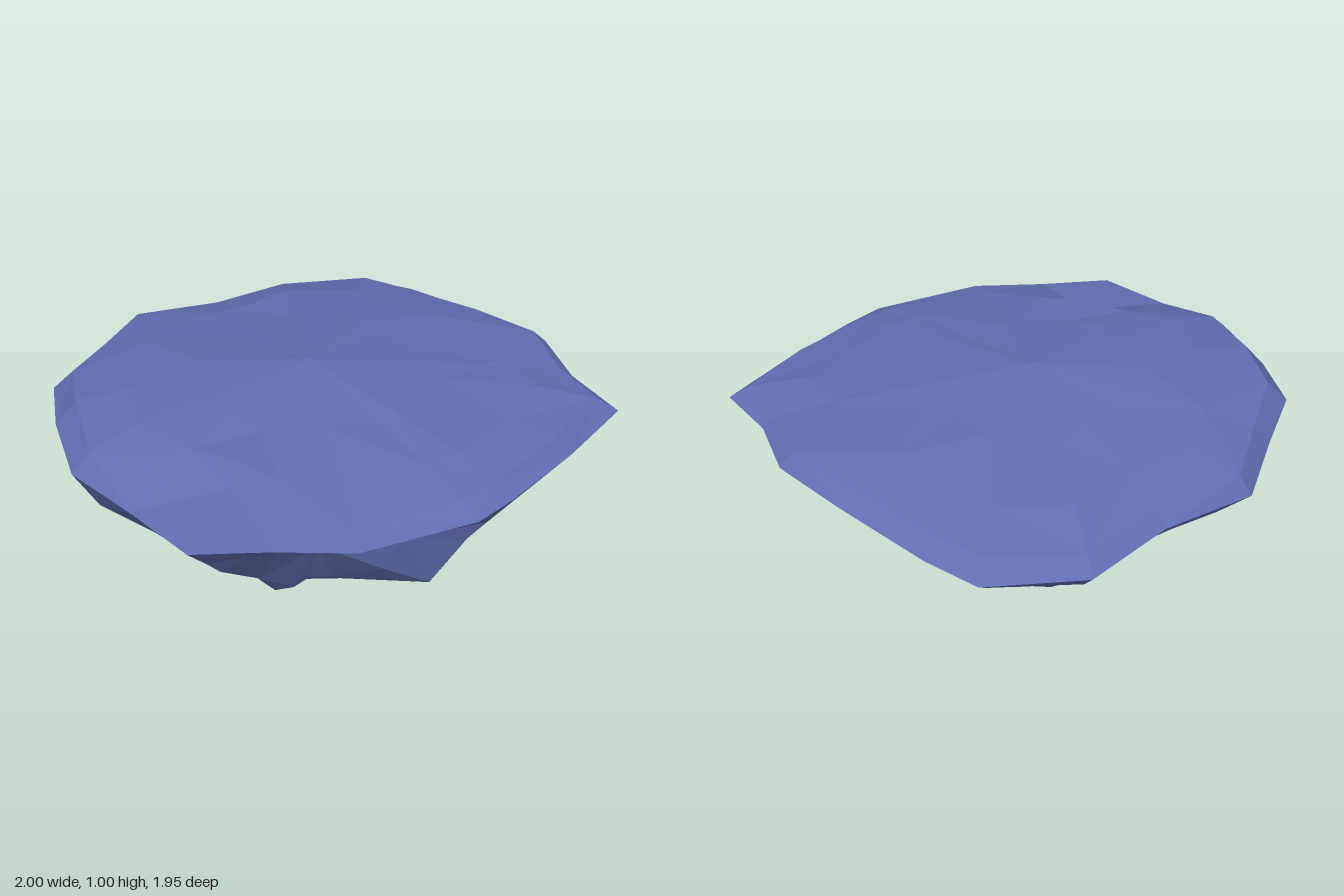
import * as THREE from 'three';

// Rim outline (x, z), counterclockwise seen from above
const OUTLINE = [
  [1, .38], [.92, .12], [.91, -.15], [.76, -.43], [.55, -.76], [.41, -.92], [.04, -.98],
  [-.28, -.82], [-.63, -.74], [-.8, -.5], [-.98, -.26], [-1, 0], [-.98, .32], [-.82, .58],
  [-.67, .85], [-.4, .9], [-.13, .97], [.3, .9], [.45, .81], [.74, .6],
];
const N = OUTLINE.length;
const MID = .845;
const TIP = [-.12, 0, .03];
const CROWN = [-.07, 1, .02];

// The rim dips towards the back and slightly towards the front
const RIM = OUTLINE.map(([x, z]) => [x, MID - (z < 0 ? .085 * z * z : .02 * z), z]);

// Local features around the rock: centre column and width in columns
const FEATURES = {
  frontHollow: [16, 1.6],
  frontCorner: [18, 2.5],
  sideHollow: [3.8, 1.6],
  sideKnob: [1.2, 1.3],
  leftFlank: [11, 4],
  sunkenCorner: [13.8, 1.3],
};

// t = reach from the centre to the rim, y = height, tilt = share of the rim's dip;
// each feature shifts [t, y]
const LOWER = [
  { t: .23, y: .12, tilt: 0, frontHollow: [-.01, .04], sideHollow: [.04, .01], leftFlank: [.03, .02] },
  { t: .41, y: .3, tilt: .3, frontHollow: [-.09, .12], frontCorner: [.24, .01],
    sideHollow: [-.05, .04], sideKnob: [.1, -.04], leftFlank: [-.04, .01] },
  { t: .68, y: .56, tilt: .6, frontHollow: [-.36, .02], frontCorner: [.11, .01],
    sideHollow: [-.13, -.06], leftFlank: [.06, .03], sunkenCorner: [.07, .03] },
  { t: .86, y: .7, tilt: .7, frontHollow: [-.14, .02], frontCorner: [.03, .01],
    sideHollow: [-.05, 0], leftFlank: [.04, -.02] },
];
const UPPER = [
  { t: .93, y: .895, tilt: 1, frontHollow: [-.02, -.03], leftFlank: [0, .035], sunkenCorner: [-.33, -.03] },
  { t: .73, y: .925, tilt: .6, frontHollow: [0, -.02], leftFlank: [-.01, .035], sunkenCorner: [-.15, .015] },
  { t: .42, y: .95, tilt: .3, leftFlank: [.04, .03] },
];

// Places a ring between a centre point and the rim, with a slight wobble
function makeRing(centre, ring, level) {
  return RIM.map((p, i) => {
    let t = ring.t + .015 * Math.sin(i * 7.3 + level);
    let y = ring.y + .007 * Math.sin(i * 4.1 + level * 2) + ring.tilt * (p[1] - MID);
    for (const [name, [middle, width]] of Object.entries(FEATURES)) {
      if (!ring[name]) continue;
      const gap = Math.abs(i - middle);
      const weight = Math.max(0, 1 - Math.min(gap, N - gap) / width);
      t += ring[name][0] * weight;
      y += ring[name][1] * weight;
    }
    return [centre[0] + (p[0] - centre[0]) * t, y, centre[2] + (p[2] - centre[2]) * t];
  });
}

// Skins a stack of rings, bottom to top, with alternating diagonals
function skin(rings) {
  const out = [];
  for (let r = 0; r < rings.length - 1; r++) {
    for (let i = 0; i < N; i++) {
      const k = (i + 1) % N;
      const a = rings[r][i], b = rings[r][k], c = rings[r + 1][k], d = rings[r + 1][i];
      if ((i + r) % 2) out.push(a, b, c, a, c, d);
      else out.push(a, b, d, b, c, d);
    }
  }
  return out;
}

// Closes a ring with a fan to one point
function fan(ring, point, upward) {
  return ring.flatMap((p, i) => {
    const q = ring[(i + 1) % N];
    return upward ? [p, q, point] : [q, p, point];
  });
}

function facetMesh(name, points, material) {
  const geometry = new THREE.BufferGeometry();
  geometry.setAttribute('position', new THREE.Float32BufferAttribute(points.flat(), 3));
  geometry.computeVertexNormals();
  const mesh = new THREE.Mesh(geometry, material);
  mesh.name = name;
  return mesh;
}

export function createModel() {
  const group = new THREE.Group();
  group.name = 'floatingRock';
  const stone = new THREE.MeshStandardMaterial({ color: 0x616eb0, flatShading: true });
  stone.name = 'blue stone';

  // Craggy underside tapering to a point
  const lower = LOWER.map((ring, level) => makeRing(TIP, ring, level));
  const underside = [...fan(lower[0], TIP, false), ...skin([...lower, RIM])];
  group.add(facetMesh('rockUnderside', underside, stone));

  // Gently uneven top
  const upper = UPPER.map((ring, level) => makeRing(CROWN, ring, level));
  const top = [...skin([RIM, ...upper]), ...fan(upper[upper.length - 1], CROWN, true)];
  group.add(facetMesh('rockTop', top, stone));

  return group;
}
